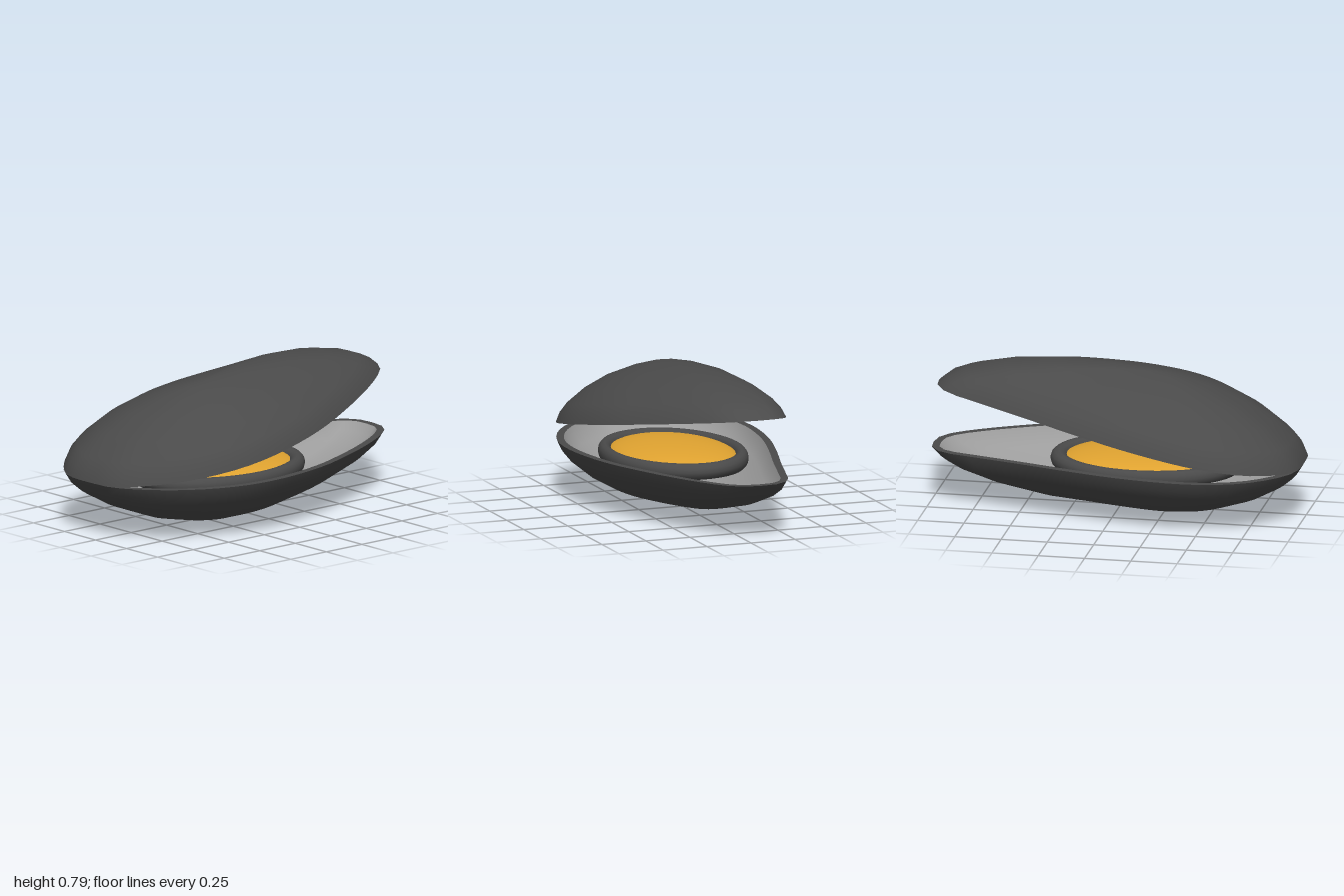
import * as THREE from 'three';

const RIM_Y = 0.31, DEPTH = 0.305, OPEN = THREE.MathUtils.degToRad(10);
const APEX = new THREE.Vector2(-0.2, 0);
const N = 56;

// Shell outline as x, z, counter-clockwise seen from above
const OUTLINE = [
  [1, -0.06], [0.985, -0.17], [0.92, -0.24], [0.75, -0.295], [0.5, -0.365], [0.2, -0.455],
  [-0.1, -0.53], [-0.42, -0.565], [-0.6, -0.545], [-0.76, -0.485], [-0.87, -0.4],
  [-0.955, -0.3], [-0.995, -0.19], [-1, -0.03], [-0.99, 0.1], [-0.95, 0.18], [-0.88, 0.275],
  [-0.76, 0.39], [-0.6, 0.485], [-0.42, 0.545], [-0.22, 0.56], [0, 0.535], [0.2, 0.487],
  [0.4, 0.41], [0.6, 0.32], [0.8, 0.21], [0.93, 0.115], [0.98, 0.05],
];
// Section from rim to crown: fraction of radius, fraction of depth
const PROFILE = [[1, 0], [0.96, 0.17], [0.89, 0.33], [0.73, 0.57], [0.52, 0.78], [0.27, 0.93], [0.1, 0.985]];

// Sampled outline, moved inward by inset
function outline(inset) {
  const curve = new THREE.CatmullRomCurve3(OUTLINE.map(([x, z]) => new THREE.Vector3(x, 0, z)), true);
  return Array.from({ length: N }, (_, i) => {
    const p = curve.getPointAt(i / N), t = curve.getTangentAt(i / N);
    return new THREE.Vector2(p.x + t.z * inset, p.z - t.x * inset);
  });
}

function build(positions, index) {
  const g = new THREE.BufferGeometry();
  g.setAttribute('position', new THREE.Float32BufferAttribute(positions, 3));
  g.setIndex(index);
  g.computeVertexNormals();
  return g;
}

// Joins loops of N points; faces look up, or down when flipped
function strips(rows, flip, index = []) {
  const add = (a, b, c) => (flip ? index.push(a, c, b) : index.push(a, b, c));
  for (let r = 0; r < rows - 1; r++) {
    for (let j = 0; j < N; j++) {
      const a = r * N + j, b = r * N + (j + 1) % N;
      add(a, b, a + N);
      add(b, b + N, a + N);
    }
  }
  return { index, add };
}

// Domed surface, dir = 1 bulges up and -1 bulges down
function dome(loop, depth, dir, flip) {
  const pos = [];
  for (const [s, d] of PROFILE) {
    for (const p of loop) {
      pos.push(APEX.x + (p.x - APEX.x) * s, dir * depth * d, APEX.y + (p.y - APEX.y) * s);
    }
  }
  pos.push(APEX.x, dir * depth, APEX.y);
  const rows = PROFILE.length, { index, add } = strips(rows, flip);
  for (let j = 0; j < N; j++) add((rows - 1) * N + j, (rows - 1) * N + (j + 1) % N, rows * N);
  return build(pos, index);
}

// Flat edge between the outer and inner surfaces
function rim(outer, inner, flip) {
  const pos = [...outer, ...inner].flatMap((p) => [p.x, 0, p.y]);
  return build(pos, strips(2, flip).index);
}

function mesh(name, geometry, material) {
  const m = new THREE.Mesh(geometry, material);
  m.name = name;
  return m;
}

export function createModel() {
  const shellDark = new THREE.MeshStandardMaterial({ color: 0x4a4a4a });
  const pearlGrey = new THREE.MeshStandardMaterial({ color: 0x9c9c9c });
  const fleshOrange = new THREE.MeshStandardMaterial({ color: 0xe0a330 });
  shellDark.name = 'shellDark';
  pearlGrey.name = 'pearlGrey';
  fleshOrange.name = 'fleshOrange';

  const model = new THREE.Group();
  model.name = 'mussel';
  const outer = outline(0), inner = outline(0.04);

  // Two matching valves, hinged at the broad end
  for (const dir of [-1, 1]) {
    const valve = new THREE.Group();
    valve.name = dir < 0 ? 'lowerValve' : 'upperValve';
    const parts = [
      mesh('outerShell', dome(outer, DEPTH, dir, dir < 0), shellDark),
      mesh('innerShell', dome(inner, DEPTH - 0.045, dir, dir > 0), pearlGrey),
      mesh('shellRim', rim(outer, inner, dir > 0), shellDark),
    ];
    parts.forEach((p) => { p.position.x = 1; valve.add(p); });
    valve.position.set(-1, RIM_Y, 0);
    if (dir > 0) valve.rotation.z = OPEN;
    model.add(valve);
  }

  // Flesh cushion
  const flesh = mesh('flesh', new THREE.SphereGeometry(1, 40, 20), fleshOrange);
  flesh.scale.set(0.46, 0.077, 0.33);
  flesh.position.set(-0.14, 0.256, 0);
  model.add(flesh);

  // Dark mantle around the flesh
  const mantleGeometry = new THREE.TorusGeometry(1, 0.1, 12, 48).rotateX(Math.PI / 2);
  const mantle = mesh('mantle', mantleGeometry, shellDark);
  mantle.scale.set(0.47, 0.45, 0.345);
  mantle.position.set(-0.14, 0.26, 0);
  model.add(mantle);

  return model;
}
